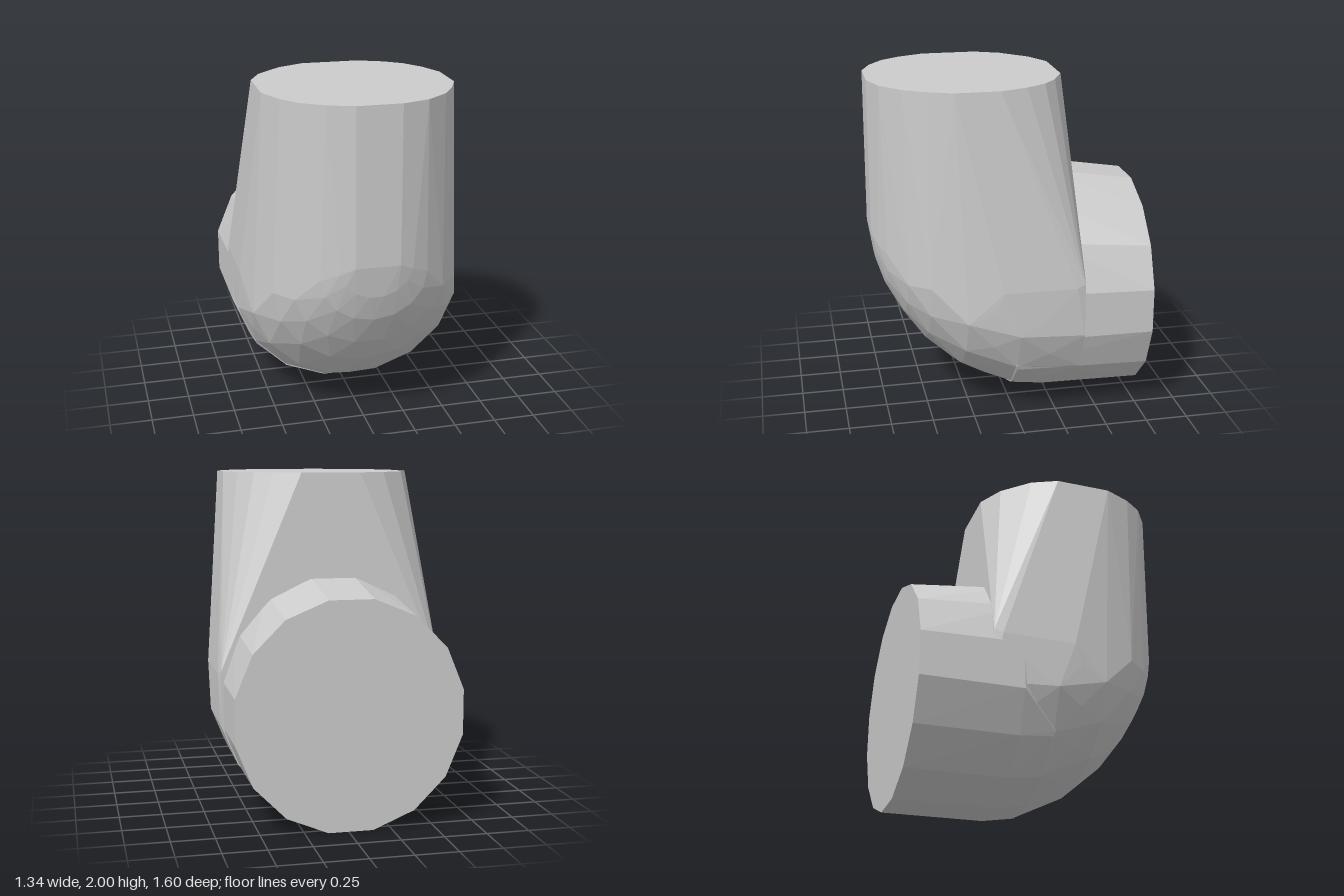
import * as THREE from 'three';
import { ConvexGeometry } from 'three/addons/geometries/ConvexGeometry.js';

const SIDES = 16;

// Ring of points facing z: half width w, separate heights below and above its centre
function ring(z, cx, cy, w, down, up, turn = 0.5) {
  const points = [], k = 1 / Math.cos(Math.PI / SIDES);
  for (let i = 0; i < SIDES; i++) {
    const a = ((i + turn) / SIDES) * Math.PI * 2;
    const s = turn ? k : 1;
    const y = Math.sin(a) * s;
    points.push(new THREE.Vector3(cx + Math.cos(a) * w * s, cy + y * (y < 0 ? down : up), z));
  }
  return points;
}

function hull(name, points) {
  const material = new THREE.MeshStandardMaterial({ color: 0xcccccc, flatShading: true });
  const mesh = new THREE.Mesh(new ConvexGeometry(points), material);
  mesh.name = name;
  return mesh;
}

export function createModel() {
  const group = new THREE.Group();
  group.name = 'pipeElbow';

  // Upright pipe: flat top outline (x, z)
  const top = [
    [0.13, 0.795], [0.29, 0.74], [0.42, 0.63], [0.5, 0.5], [0.56, 0.36], [0.56, 0.1],
    [0.5, -0.06], [0.42, -0.18], [0.32, -0.26], [0.17, -0.33],
    [-0.18, -0.33], [-0.34, -0.25], [-0.49, -0.1], [-0.56, 0.05], [-0.56, 0.38],
    [-0.49, 0.54], [-0.41, 0.65], [-0.28, 0.74], [-0.13, 0.795],
  ].map(([x, z]) => new THREE.Vector3(x, 2, z));

  // Rounded bend: lower half rings as z, half width, bottom, centre height
  const bend = [
    [-0.38, 0.66, 0.02, 0.68], [-0.18, 0.668, 0.02, 0.68], [0, 0.668, 0.055, 0.7],
    [0.15, 0.655, 0.12, 0.73], [0.3, 0.625, 0.205, 0.77], [0.5, 0.54, 0.38, 0.86],
    [0.62, 0.44, 0.555, 0.93], [0.72, 0.31, 0.73, 1.0], [0.77, 0.21, 0.89, 1.08],
  ];
  const upright = [...top];
  bend.forEach(([z, w, bottom, centre], i) => {
    const r = ring(z, 0, centre, w, centre - bottom, 0.1, i % 2 ? 0 : 0.5);
    upright.push(...r.filter((p) => p.y <= centre + 0.001));
  });
  for (const s of [-1, 1]) {
    upright.push(
      new THREE.Vector3(s * 0.655, 0.87, -0.38), // back corners
      new THREE.Vector3(s * 0.668, 0.85, -0.33),
      new THREE.Vector3(s * 0.668, 0.85, 0.1),
      new THREE.Vector3(s * 0.13, 1.08, 0.798), // front of the bend
    );
  }
  group.add(hull('uprightPipe', upright));

  // Branch pipe: runs to the back, its top rising slightly towards the bend
  const branch = [
    ...ring(-0.8, -0.013, 0.66, 0.655, 0.66, 0.66),
    ...ring(-0.2, -0.013, 0.66, 0.655, 0.65, 0.755),
    ...ring(0, 0, 0.66, 0.66, 0.61, 0.61).filter((p) => p.y < 0.34),
    new THREE.Vector3(-0.57, 0.34, 0.01),
    new THREE.Vector3(0.57, 0.34, 0.01),
  ];
  group.add(hull('branchPipe', branch));
  return group;
}
